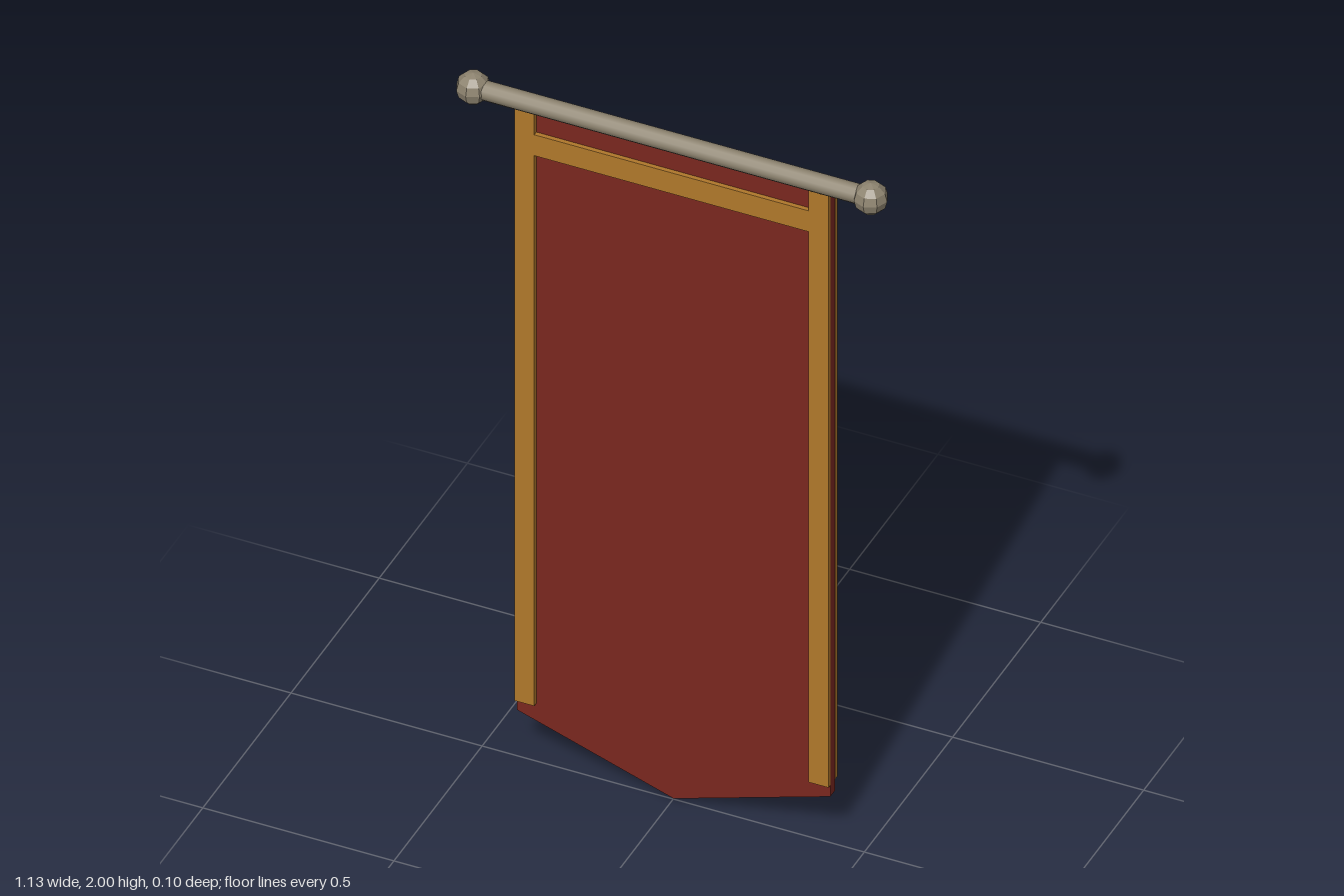
import * as THREE from 'three';

const mat = (color) => new THREE.MeshStandardMaterial({ color });

function add(group, name, geometry, material, x = 0, y = 0, z = 0) {
  const mesh = new THREE.Mesh(geometry, material);
  mesh.name = name;
  mesh.position.set(x, y, z);
  group.add(mesh);
  return mesh;
}

// Flat plate cut from an outline given as its +x half, top to bottom, and mirrored
function mirroredPlate(half, depth) {
  const other = half.filter(([x]) => x > 0).map(([x, y]) => [-x, y]).reverse();
  const points = [...half, ...other].map(([x, y]) => new THREE.Vector2(x, y));
  return new THREE.ExtrudeGeometry(new THREE.Shape(points), { depth, bevelEnabled: false });
}

export function createModel() {
  const model = new THREE.Group();
  model.name = 'hangingBanner';
  const cloth = mat(0x7a271f);
  const trim = mat(0xb0782b);
  const gold = mat(0xb38d35);
  const pole = mat(0x8c826e);
  pole.flatShading = false;
  const knobMat = mat(0x8c826e);
  knobMat.flatShading = true;

  const poleY = 1.957, poleZ = 0.007;
  const back = -0.028, front = -0.002, trimDepth = 0.012;

  // Pole with a faceted knob at each end
  const rod = new THREE.CylinderGeometry(0.025, 0.025, 1.04, 12).rotateZ(Math.PI / 2);
  add(model, 'pole', rod, pole, 0, poleY, poleZ);
  for (const s of [-1, 1]) {
    add(model, s > 0 ? 'leftKnob' : 'rightKnob',
      new THREE.SphereGeometry(0.043, 8, 6), knobMat, s * 0.52, poleY, poleZ);
  }

  // Cloth with a pointed lower edge
  add(model, 'cloth', mirroredPlate([[0.41, 1.935], [0.41, 0.135], [0, 0]], front - back),
    cloth, 0, 0, back);

  // Side strips and crossbar of trim on both faces
  for (const [face, z] of [['front', front + trimDepth / 2], ['back', back - trimDepth / 2]]) {
    for (const s of [-1, 1]) {
      add(model, face + (s > 0 ? 'LeftTrim' : 'RightTrim'),
        new THREE.BoxGeometry(0.052, 1.76, trimDepth), trim, s * 0.385, 1.05, z);
    }
    add(model, face + 'CrossTrim', new THREE.BoxGeometry(0.718, 0.062, trimDepth), trim, 0, 1.837, z);
  }

  // Spiked emblem on the back
  const emblem = [[0, 1.39], [0.038, 1.26], [0.11, 1.335], [0.1, 1.225],
    [0.173, 1.145], [0.15, 1.015], [0, 0.938]];
  add(model, 'emblem', mirroredPlate(emblem, 0.024), gold, 0, 0, -0.052);

  return model;
}
